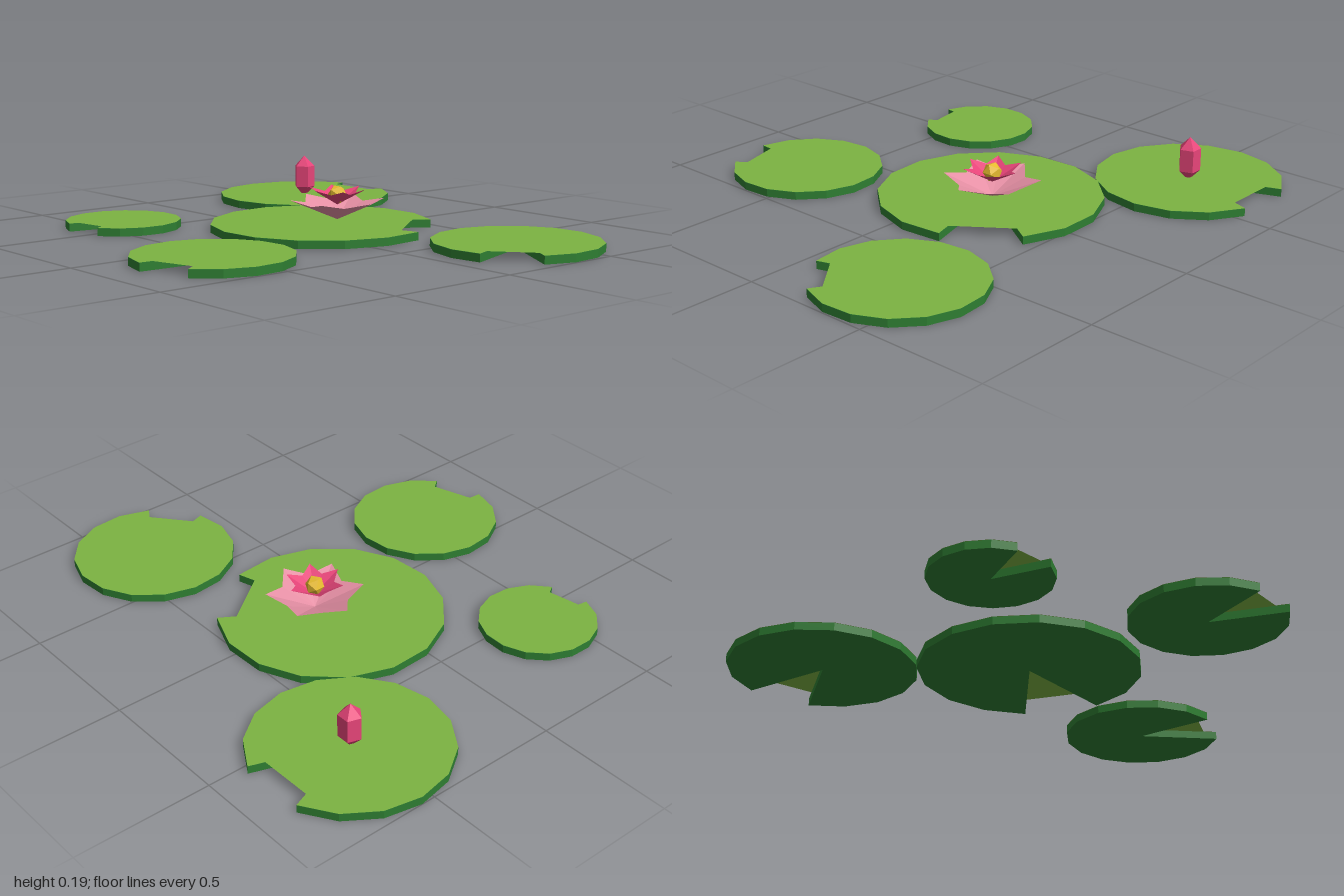
import * as THREE from 'three';

const mat = (name, color, extra = {}) => {
  const m = new THREE.MeshStandardMaterial({ color, flatShading: true, ...extra });
  m.name = name;
  return m;
};

export function createModel() {
  const both = { side: THREE.DoubleSide };
  const leafTop = mat('light leaf green', 0x7cb342, both);
  const leafSide = mat('dark leaf green', 0x2e7d32);
  const palePink = mat('pale pink', 0xf096ac, both);
  const deepPink = mat('deep pink', 0xe8457a, both);
  const yellow = mat('pollen yellow', 0xe8bc30);

  const root = new THREE.Group();
  root.name = 'waterLilies';
  const add = (parent, name, geometry, material, x = 0, y = 0, z = 0) => {
    const mesh = new THREE.Mesh(geometry, material);
    mesh.name = name;
    mesh.position.set(x, y, z);
    parent.add(mesh);
    return mesh;
  };

  // Floating leaf: notched slab with a thin skin that partly fills the notch
  const HALF = THREE.MathUtils.degToRad(20.4);
  const SEGMENTS = 14;
  function lilyPad(name, x, z, r, notchDegrees) {
    const mid = THREE.MathUtils.degToRad(notchDegrees);
    const at = (a, d) => new THREE.Vector2(d * Math.cos(a), -d * Math.sin(a));
    const rim = [];
    for (let i = 0; i <= SEGMENTS; i++) {
      rim.push(at(mid + HALF + (i / SEGMENTS) * (2 * Math.PI - 2 * HALF), r));
    }
    const slab = new THREE.ExtrudeGeometry(
      new THREE.Shape([new THREE.Vector2(0, 0), ...rim]),
      { depth: 0.029, bevelEnabled: false });
    const chord = [at(mid - HALF, r * 0.83), at(mid + HALF, r * 0.83)];
    const skin = new THREE.ShapeGeometry(new THREE.Shape([...rim, ...chord]));
    slab.rotateX(-Math.PI / 2);
    skin.rotateX(-Math.PI / 2);

    const pad = new THREE.Group();
    pad.name = name;
    pad.position.set(x, 0, z);
    add(pad, 'padBody', slab, leafSide);
    add(pad, 'padTop', skin, leafTop, 0, 0.03, 0);
    root.add(pad);
  }
  lilyPad('centrePad', -0.04, -0.11, 0.412, -36.6);
  lilyPad('backRightPad', -0.653, -0.547, 0.347, -90.5);
  lilyPad('backLeftPad', 0.695, -0.37, 0.303, 51);
  lilyPad('frontRightPad', -0.565, 0.413, 0.214, 80.5);
  lilyPad('frontLeftPad', 0.215, 0.585, 0.281, 73.5);

  // Six-pointed petal bowl rising from a single base point
  function petalBowl(base, tipR, tipY, valleyR, valleyY, turn) {
    const ring = (i) => {
      const tip = i % 2 === 0;
      const a = turn + (i * Math.PI) / 6;
      const r = tip ? tipR : valleyR;
      return [r * Math.cos(a), tip ? tipY : valleyY, r * Math.sin(a)];
    };
    const p = [];
    for (let i = 0; i < 12; i++) p.push(0, base, 0, ...ring(i + 1), ...ring(i));
    const g = new THREE.BufferGeometry();
    g.setAttribute('position', new THREE.Float32BufferAttribute(p, 3));
    g.computeVertexNormals();
    return g;
  }

  // Open flower
  const flower = new THREE.Group();
  flower.name = 'flower';
  flower.position.set(0, 0, -0.153);
  add(flower, 'outerPetals', petalBowl(0.04, 0.178, 0.115, 0.125, 0.097, 0), palePink);
  add(flower, 'innerPetals', petalBowl(0.095, 0.108, 0.155, 0.07, 0.138, Math.PI / 6), deepPink);
  add(flower, 'flowerCentre', new THREE.IcosahedronGeometry(0.036, 0), yellow, 0, 0.133, 0);
  root.add(flower);

  // Closed bud: five-sided stretched spindle
  const bud = add(root, 'bud', new THREE.SphereGeometry(0.0485, 5, 3), deepPink, -0.653, 0.1, -0.547);
  bud.scale.y = 0.085 / 0.0485;
  bud.rotation.y = Math.PI / 2;

  return root;
}
